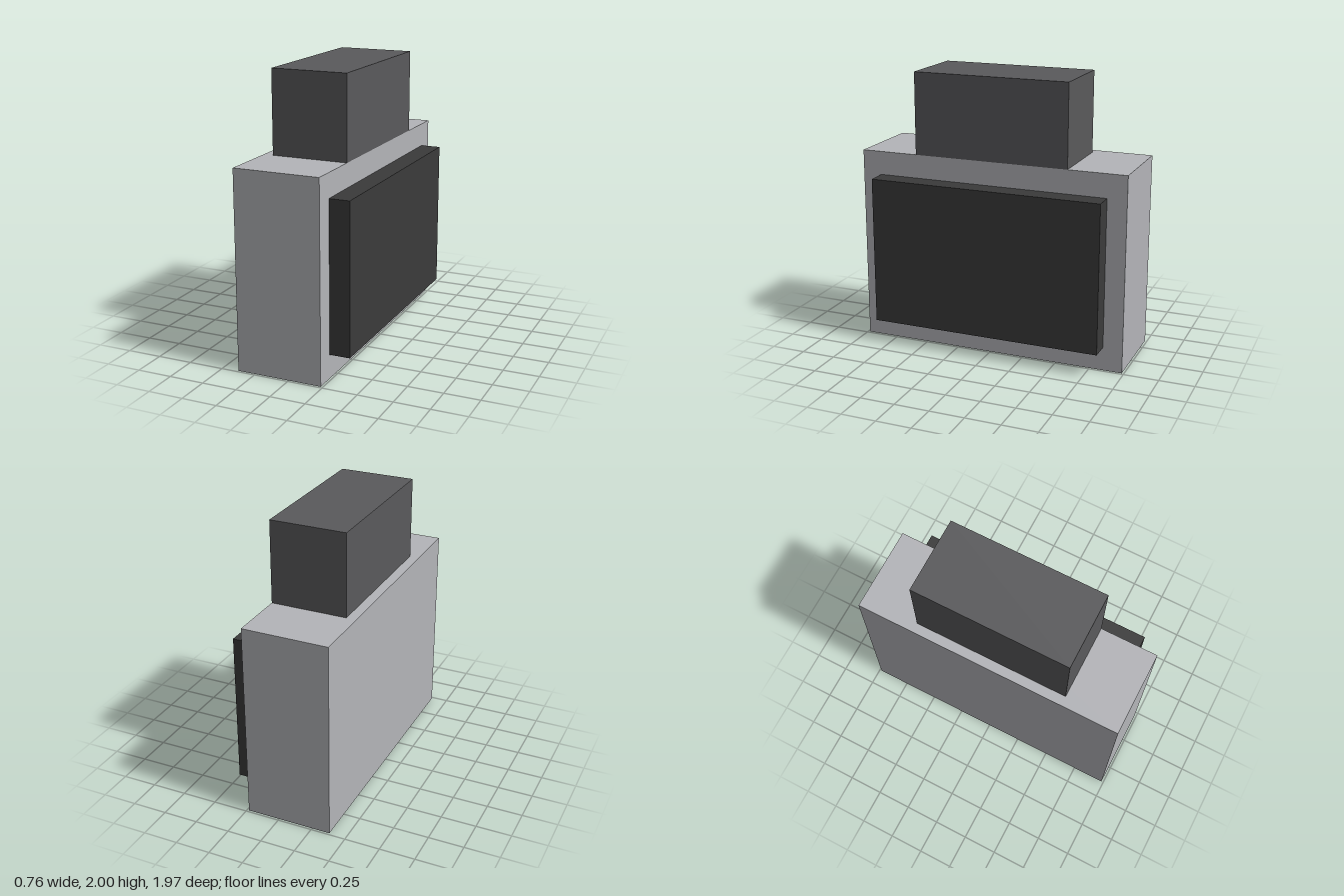
import * as THREE from 'three';

// Box given by its min and max corners
function block(name, color, [x0, y0, z0], [x1, y1, z1]) {
  const geometry = new THREE.BoxGeometry(x1 - x0, y1 - y0, z1 - z0);
  const mesh = new THREE.Mesh(geometry, new THREE.MeshStandardMaterial({ color }));
  mesh.position.set((x0 + x1) / 2, (y0 + y1) / 2, (z0 + z1) / 2);
  mesh.name = name;
  return mesh;
}

export function createModel() {
  const group = new THREE.Group();
  group.name = 'model';
  group.add(
    // Main housing
    block('body', 0xb4b5b9, [-0.38, 0, -0.985], [0.235, 1.41, 0.985]),
    // Upper block, flush with the panel side of the body
    block('topBlock', 0x5a5a5c, [-0.31, 1.41, -0.565], [0.235, 2, 0.565]),
    // Raised dark panel on the left side
    block('sidePanel', 0x3b3b3b, [0.235, 0.17, -0.845], [0.38, 1.24, 0.845])
  );
  return group;
}
